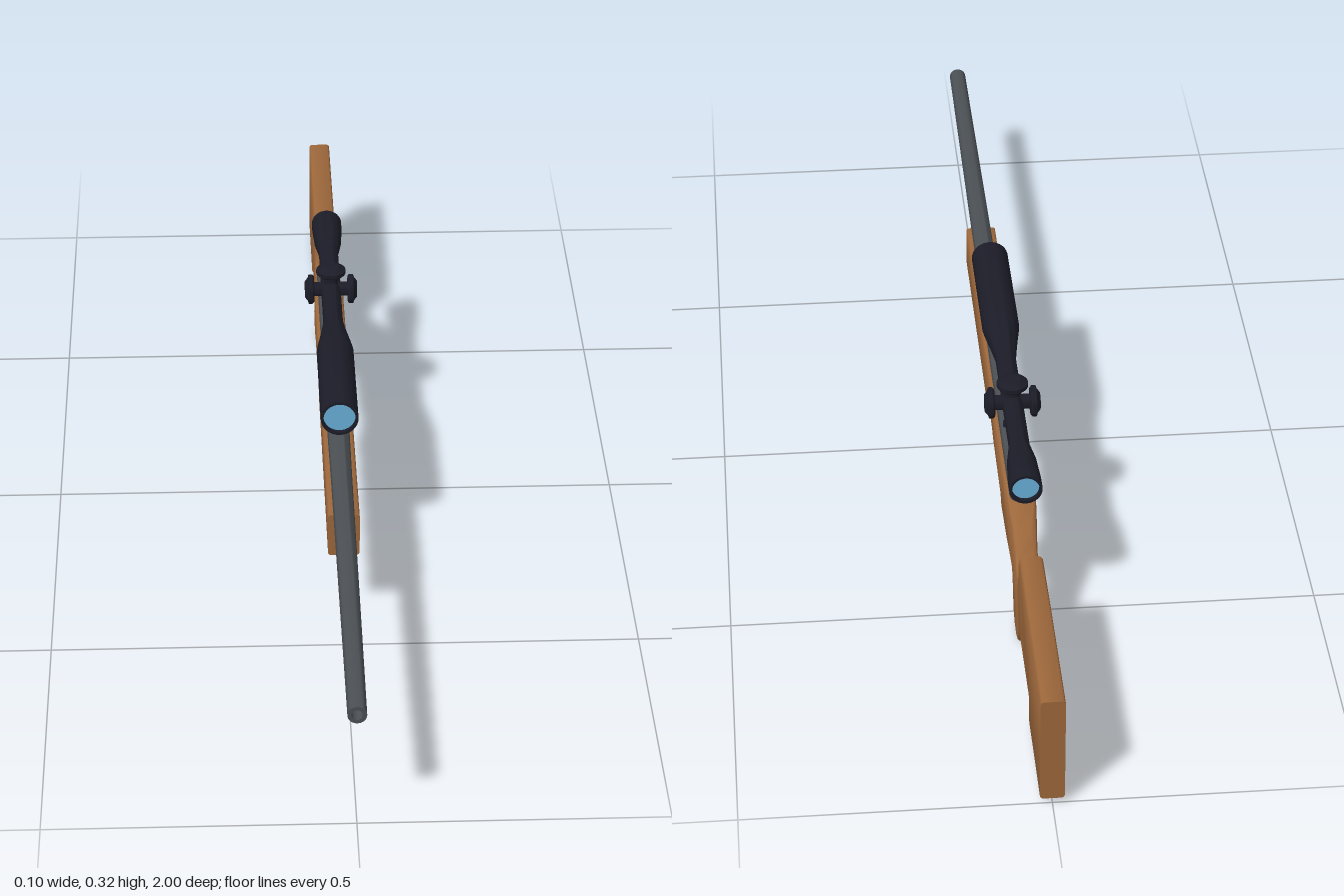
import * as THREE from 'three';
import { toCreasedNormals } from 'three/addons/utils/BufferGeometryUtils.js';

const mat = (name, color) => Object.assign(new THREE.MeshStandardMaterial({ color }), { name });

// Smooth rounded areas while keeping hard edges
const crease = (g, angle = 0.6) => toCreasedNormals(g, angle);

// Turned part; profile is [radius, height] from bottom to top
const lathe = (profile, segments = 32) =>
  crease(new THREE.LatheGeometry(profile.map(([r, h]) => new THREE.Vector2(r, h)), segments));

// Loft of rounded rectangles; each station has its own top and bottom z
function loftStock(stations) {
  const pos = [], idx = [], steps = 4, n = 4 * (steps + 1);
  for (const [zT, yT, zB, yB, w, r] of stations) {
    for (let c = 0; c < 4; c++) {
      const sx = c === 0 || c === 3 ? 1 : -1, top = c < 2;
      for (let s = 0; s <= steps; s++) {
        const a = (c + s / steps) * Math.PI / 2;
        const x = sx * (w - r) + r * Math.cos(a);
        const y = (top ? yT - r : yB + r) + r * Math.sin(a);
        pos.push(x, y, THREE.MathUtils.lerp(zB, zT, (y - yB) / (yT - yB)));
      }
    }
  }
  for (let i = 0; i < stations.length - 1; i++) {
    for (let j = 0; j < n; j++) {
      const k = (j + 1) % n, a = i * n + j, b = i * n + k;
      idx.push(a, a + n, b, b, a + n, b + n);
    }
  }
  const e = (stations.length - 1) * n;
  for (let j = 1; j < n - 1; j++) idx.push(0, j, j + 1, e, e + j + 1, e + j);
  const g = new THREE.BufferGeometry();
  g.setAttribute('position', new THREE.Float32BufferAttribute(pos, 3));
  g.setIndex(idx);
  return crease(g, 0.7);
}

export function createModel() {
  const model = new THREE.Group();
  const wood = mat('wood', 0x9c673b);
  const metal = mat('gunmetal', 0x4b5054);
  const black = mat('scope black', 0x1c1c28);
  const glass = mat('lens blue', 0x68b0d8);
  const add = (name, geometry, material, parent = model) => {
    const mesh = new THREE.Mesh(geometry, material);
    mesh.name = name;
    parent.add(mesh);
    return mesh;
  };

  // Stock: top z, top y, bottom z, bottom y
  const forend = [
    [0.415, 0.21, 0.415, 0.13], [-0.08, 0.21, -0.085, 0.13], [-0.11, 0.21, -0.115, 0.138],
    [-0.135, 0.21, -0.14, 0.15], [-0.16, 0.21, -0.165, 0.15], [-0.186, 0.21, -0.19, 0.144],
    [-0.19, 0.2, -0.2, 0.142], [-0.376, 0.2, -0.34, 0.135], [-0.38, 0.206, -0.36, 0.122],
  ].map(s => [...s, 0.027, 0.005]);
  const wrist = [
    [-0.42, 0.202, -0.45, 0.119, 0.026, 0.007], [-0.46, 0.195, -0.485, 0.11, 0.024, 0.009],
    [-0.5, 0.18, -0.505, 0.09, 0.021, 0.01],
  ];
  const grip = [
    [-0.525, 0.16, -0.511, 0.05], [-0.54, 0.145, -0.52, 0.018], [-0.56, 0.135, -0.545, 0.005],
    [-0.575, 0.133, -0.575, 0.003], [-0.59, 0.136, -0.595, 0.012], [-0.6, 0.145, -0.608, 0.03],
    [-0.608, 0.165, -0.62, 0.044], [-0.611, 0.195, -0.645, 0.051], [-0.62, 0.208, -0.67, 0.054],
  ].map(s => [...s, 0.02, 0.009]);
  const butt = [
    [-0.75, 0.208, -0.805, 0.059], [-0.81, 0.208, -0.82, 0.052], [-0.812, 0.208, -0.82, 0.043],
    [-0.814, 0.208, -0.806, 0.037], [-0.816, 0.208, -0.806, 0.018], [-0.82, 0.208, -0.816, 0.012],
    [-1, 0.208, -1, 0.012],
  ].map(s => [...s, 0.02, 0.006]);
  add('stock', loftStock([...forend, ...wrist, ...grip, ...butt]), wood);

  // Barrel with bore, running back into the receiver
  const barrel = add('barrel', lathe([
    [0, -0.45], [0.017, -0.45], [0.021, -0.445], [0.021, -0.05], [0.0185, 0.3], [0.0155, 1],
    [0.009, 1], [0.009, 0.97], [0, 0.97],
  ]).rotateX(Math.PI / 2), metal);
  barrel.position.y = 0.212;

  // Trigger guard: flat strip bent into a loop
  const loop = (Path, z0, z1, y0, y1, r) => {
    const p = new Path();
    p.moveTo(z0, y1);
    p.lineTo(z0, y0 + r);
    p.quadraticCurveTo(z0, y0, z0 + r, y0);
    p.lineTo(z1 - r, y0);
    p.quadraticCurveTo(z1, y0, z1, y0 + r);
    p.lineTo(z1, y1);
    p.closePath();
    return p;
  };
  const guard = loop(THREE.Shape, -0.452, -0.355, 0.075, 0.132, 0.025);
  guard.holes.push(loop(THREE.Path, -0.446, -0.361, 0.081, 0.126, 0.021));
  add('triggerGuard', crease(new THREE.ExtrudeGeometry(guard, { depth: 0.026, bevelEnabled: false })
    .rotateY(-Math.PI / 2).translate(0.013, 0, 0)), metal);

  // Telescopic sight
  const scope = new THREE.Group();
  scope.name = 'scope';
  scope.position.y = 0.275;
  model.add(scope);
  add('scopeTube', lathe([
    [0, -0.515], [0.023, -0.515], [0.023, -0.525], [0.028, -0.525], [0.028, -0.5], [0.025, -0.445],
    [0.018, -0.4], [0.018, -0.135], [0.024, -0.09], [0.031, -0.045], [0.033, -0.03],
    [0.033, 0.205], [0.028, 0.205], [0.028, 0.195], [0, 0.195],
  ]).rotateX(Math.PI / 2), black, scope);
  add('frontLens', new THREE.CircleGeometry(0.028, 32), glass, scope).position.z = 0.197;
  const rearLens = add('rearLens', new THREE.CircleGeometry(0.023, 32), glass, scope);
  rearLens.position.z = -0.517;
  rearLens.rotation.y = Math.PI;

  // Adjustment knobs on top and both sides
  const knob = lathe([
    [0, 0], [0.013, 0], [0.013, 0.031], [0.024, 0.031], [0.027, 0.034], [0.027, 0.041],
    [0.021, 0.043], [0.015, 0.048], [0, 0.048],
  ], 24);
  [['topKnob', 0], ['leftKnob', -Math.PI / 2], ['rightKnob', Math.PI / 2]].forEach(([name, turn]) => {
    const k = add(name, knob, black, scope);
    k.position.z = -0.265;
    k.rotation.z = turn;
  });

  // Post joining the scope to the receiver
  add('scopeMount', lathe([
    [0, -0.05], [0.016, -0.05], [0.016, -0.042], [0.01, -0.035], [0.01, 0], [0, 0],
  ], 24), black, scope).position.z = -0.265;

  return model;
}
